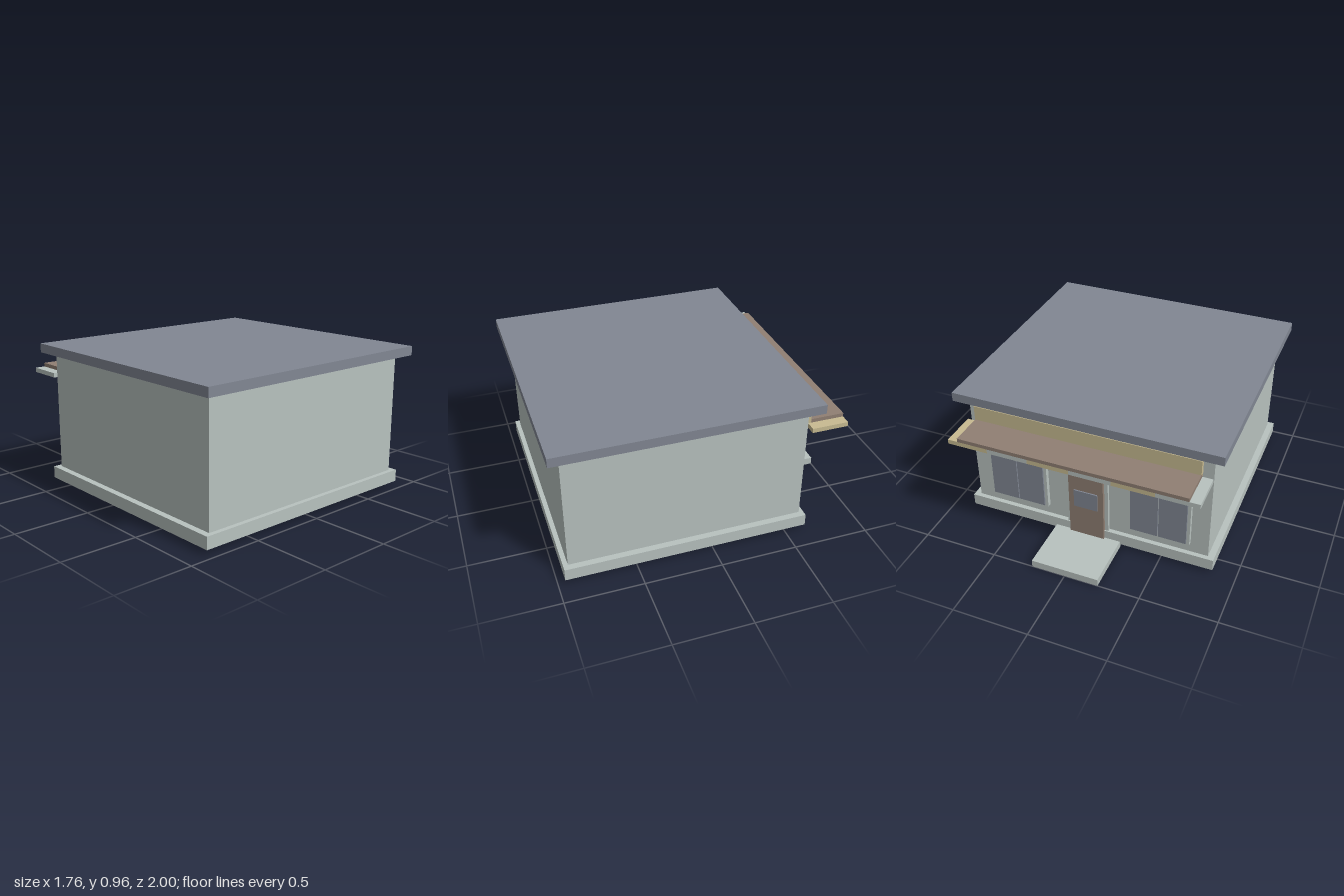
import * as THREE from 'three';

const material = (name, color) => {
  const m = new THREE.MeshStandardMaterial({ color });
  m.name = name;
  return m;
};

export function createModel() {
  const plaster = material('pale plaster', 0xb8c2bf);
  const slate = material('slate', 0x818793);
  const wood = material('brown wood', 0x907f73);
  const cream = material('cream', 0xc8bb92);

  const shop = new THREE.Group();
  shop.name = 'smallShop';

  // Box given by its extents along each axis
  function slab(name, mat, [x0, x1], [y0, y1], [z0, z1], parent = shop) {
    const mesh = new THREE.Mesh(new THREE.BoxGeometry(x1 - x0, y1 - y0, z1 - z0), mat);
    mesh.position.set((x0 + x1) / 2, (y0 + y1) / 2, (z0 + z1) / 2);
    mesh.name = name;
    parent.add(mesh);
    return mesh;
  }

  // Building shell
  slab('plinth', plaster, [-0.85, 0.85], [0.03, 0.11], [-0.635, 0.955]);
  slab('walls', plaster, [-0.808, 0.808], [0.11, 0.9], [-0.605, 0.925]);
  slab('roof', slate, [-0.88, 0.88], [0.9, 0.96], [-0.68, 1]);
  slab('doorstep', plaster, [-0.225, 0.225], [0, 0.05], [-1, -0.622]);

  // Door: jambs, lintel and sill around a wooden leaf with a small window
  const door = new THREE.Group();
  door.name = 'door';
  shop.add(door);
  slab('doorFrame', plaster, [-0.142, 0.142], [0.015, 0.555], [-0.627, -0.6], door);
  slab('doorLeaf', wood, [-0.118, 0.118], [0.05, 0.535], [-0.65, -0.627], door);
  slab('doorWindow', slate, [-0.08, 0.08], [0.28, 0.41], [-0.658, -0.65], door);

  // Two shop windows, each with a frame and a pair of panes
  for (const side of [-1, 1]) {
    const win = new THREE.Group();
    win.name = side < 0 ? 'rightWindow' : 'leftWindow';
    win.position.x = side * 0.485;
    shop.add(win);
    slab('windowFrame', plaster, [-0.205, 0.205], [0.185, 0.745], [-0.635, -0.6], win);
    for (const s of [-1, 1]) {
      const pane = slab('windowPane', slate, [-0.091, 0.091], [0.2, 0.735], [-0.647, -0.635], win);
      pane.position.x = s * 0.094;
    }
  }

  // Signboard and the canopy board below it
  slab('signboard', cream, [-0.745, 0.745], [0.755, 0.88], [-0.66, -0.628]);
  slab('canopyBoard', wood, [-0.745, 0.745], [0.755, 0.78], [-0.88, -0.64]);

  // Striped awning panels in alternating colours
  const stripes = 6, width = 1.624 / stripes;
  for (let i = 0; i < stripes; i++) {
    const x = -0.812 + i * width;
    slab('awningStripe', i % 2 ? cream : plaster, [x, x + width], [0.725, 0.755], [-0.88, -0.64]);
  }

  return shop;
}
